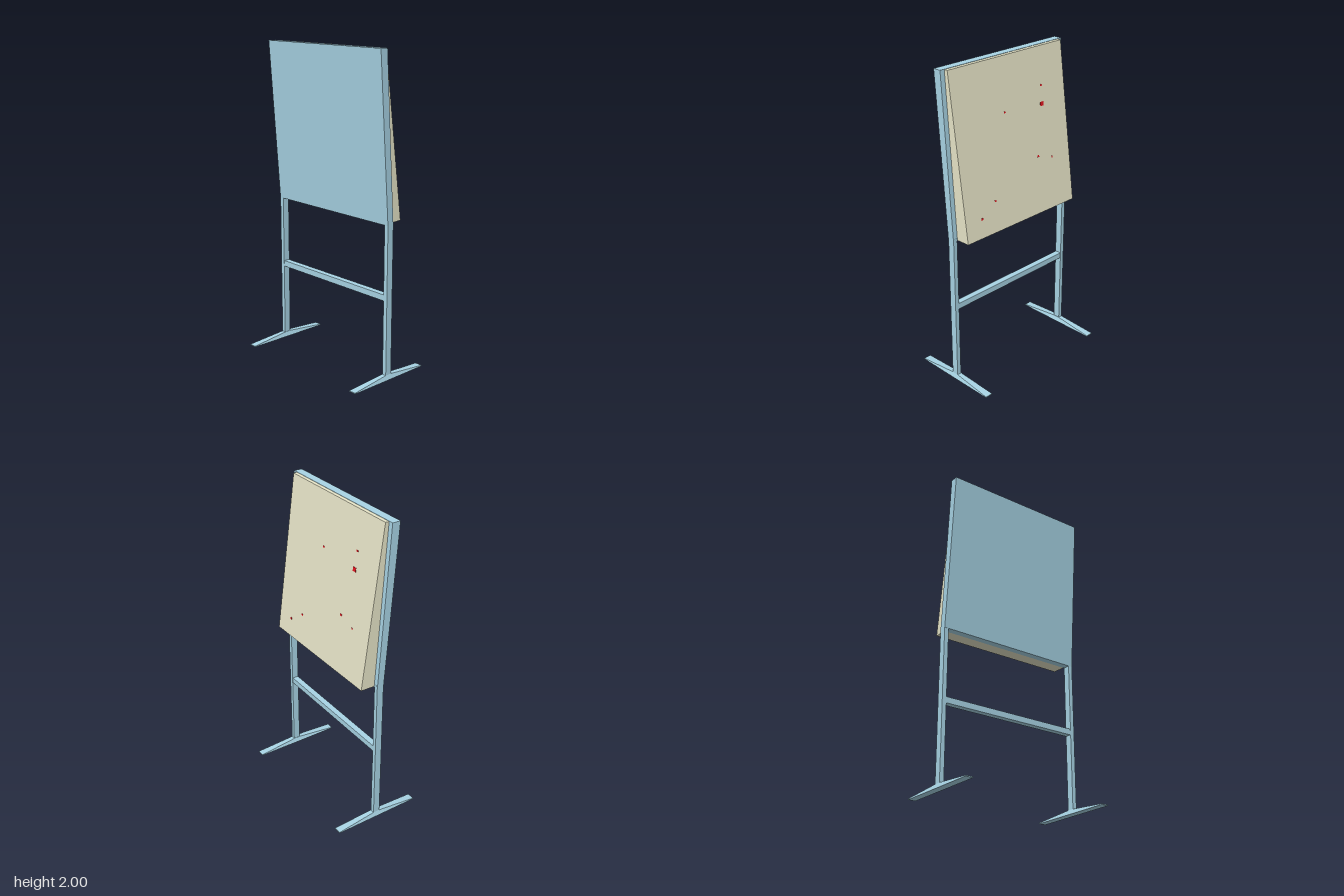
import * as THREE from 'three';

export function createModel() {
  const model = new THREE.Group();
  const paint = (name, color) => {
    const material = new THREE.MeshStandardMaterial({ color });
    material.name = name;
    return material;
  };
  const blue = paint('pale blue frame', 0xa8d4e5);
  const beige = paint('beige backing', 0xe8e6c9);
  const red = paint('red marks', 0xe0141e);

  function add(name, geometry, material, x = 0, y = 0, z = 0) {
    const mesh = new THREE.Mesh(geometry, material);
    mesh.name = name;
    mesh.position.set(x, y, z);
    model.add(mesh);
    return mesh;
  }

  // Side profile of [z, y] points, extruded across x and centred
  function prism(profile, width) {
    const shape = new THREE.Shape(profile.map(([z, y]) => new THREE.Vector2(z, y)));
    return new THREE.ExtrudeGeometry(shape, { depth: width, bevelEnabled: false })
      .translate(0, 0, -width / 2)
      .rotateY(-Math.PI / 2);
  }

  // Foot: wide flat tips rising to a narrower ridge under the post
  function footGeometry() {
    const box = new THREE.BoxGeometry(1, 1, 1, 1, 1, 3);
    const p = box.attributes.position;
    for (let i = 0; i < p.count; i++) {
      const z = p.getZ(i), top = p.getY(i) > 0, tip = Math.abs(z) > 0.4;
      p.setXYZ(i,
        p.getX(i) * (top && !tip ? 0.03 : 0.05),
        top ? (tip ? 0.006 : 0.03) : 0,
        Math.sign(z) * (tip ? 0.292 : 0.023));
    }
    const flat = box.toNonIndexed();
    flat.computeVertexNormals();
    return flat;
  }

  // Leaning front panel
  add('frontPanel', prism([[-0.022, 0.973], [0.023, 0.973], [0.1, 2], [0.047, 2]], 0.982), blue);

  // Wedge-shaped backing, thicker at the bottom
  const low = { y: 0.978, z: -0.116 }, high = { y: 1.998, z: 0.023 };
  add('backWedge', prism([[low.z, low.y], [-0.022, 0.975], [0.047, 1.998], [high.z, high.y]], 0.92), beige);

  // Small red marks on the sloping back: x, fraction down from the top, width, height
  const lean = Math.atan2(high.z - low.z, high.y - low.y);
  const marks = [
    [-0.25, 0.34, 0.028, 0.026], [0.33, 0.885, 0.016, 0.012], [0.21, 0.81, 0.014, 0.01],
    [-0.18, 0.645, 0.014, 0.012], [-0.3, 0.68, 0.01, 0.01], [-0.255, 0.23, 0.014, 0.01],
    [0.065, 0.32, 0.014, 0.01],
  ];
  for (const [x, down, w, h] of marks) {
    const y = THREE.MathUtils.lerp(high.y, low.y, down);
    const z = THREE.MathUtils.lerp(high.z, low.z, down);
    add('backMark', new THREE.BoxGeometry(w, h, 0.004), red, x, y, z).rotation.x = lean;
  }

  // Posts and feet
  for (const [side, s] of [['left', 1], ['right', -1]]) {
    add(side + 'Post', new THREE.BoxGeometry(0.028, 0.97, 0.045), blue, s * 0.477, 0.505, 0);
    add(side + 'Foot', footGeometry(), blue, s * 0.476, 0, 0);
  }

  // Rail between the posts
  add('crossRail', new THREE.BoxGeometry(0.928, 0.038, 0.04), blue, 0, 0.522, 0);

  return model;
}
